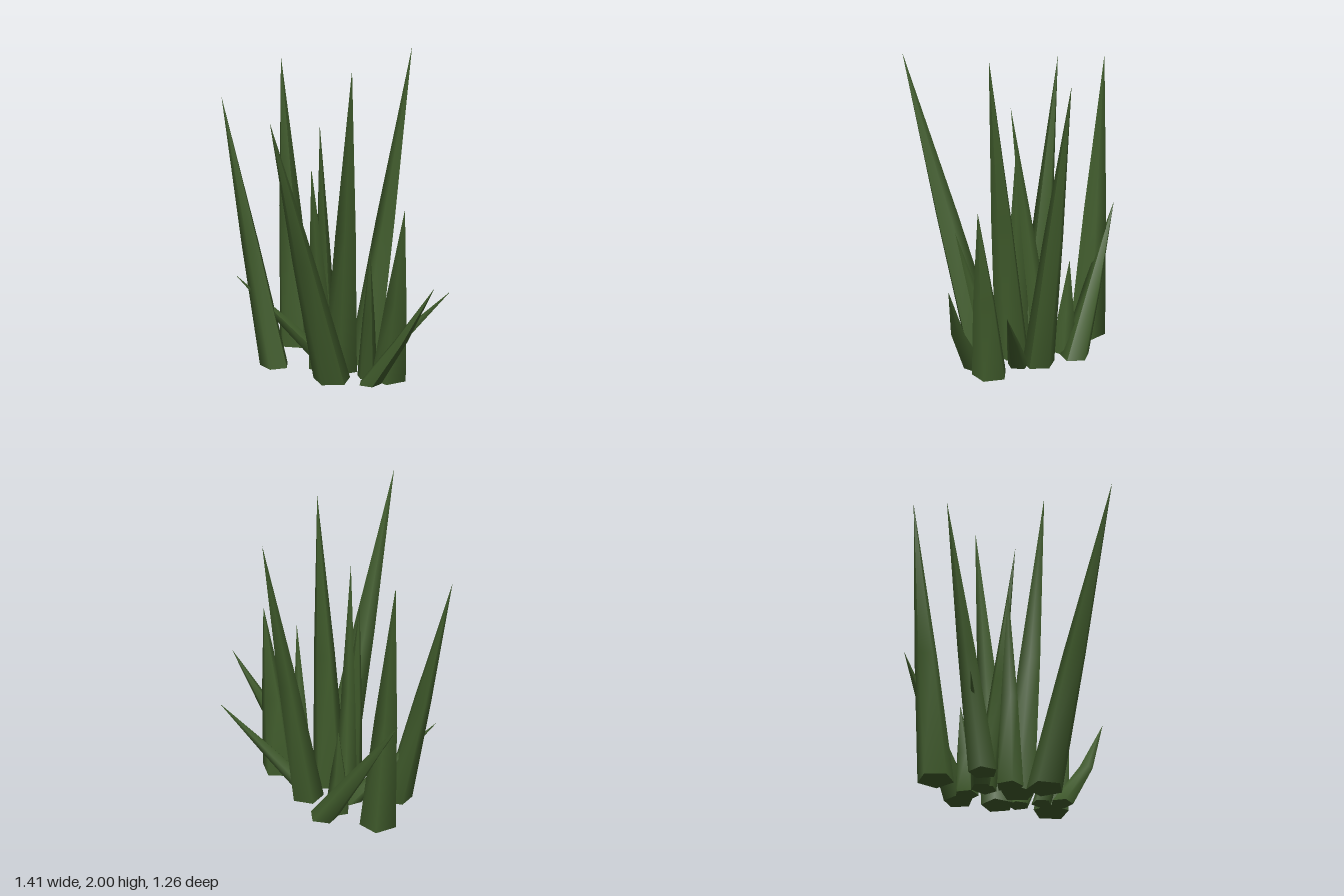
import * as THREE from 'three';

// Each blade: base [x, z], base radius, first corner angle in degrees, tip [x, y, z], optional mid bend [x, z]
const BLADES = [
  { base: [0.01, 0.13], r: 0.115, turn: 47, tip: [-0.30, 1.84, 0.63] },
  { base: [0.04, -0.05], r: 0.105, turn: 0, tip: [0.125, 2.0, 0.09] },
  { base: [0.165, -0.21], r: 0.10, turn: 60, tip: [0.42, 1.97, -0.42] },
  { base: [-0.37, -0.15], r: 0.09, turn: 60, tip: [-0.71, 1.65, -0.28], foot: 0 },
  { base: [-0.28, -0.47], r: 0.115, turn: 32, tip: [-0.39, 1.81, -0.575] },
  { base: [0.05, -0.42], r: 0.09, turn: 63, tip: [-0.41, 0.84, -0.63] },
  { base: [0.345, 0.07], r: 0.11, turn: 0, tip: [0.45, 1.14, 0.14] },
  { base: [0.20, -0.09], r: 0.066, turn: 54, tip: [0.70, 0.56, -0.05] },
  { base: [0.24, 0.165], r: 0.07, turn: 20, tip: [0.65, 0.71, 0.305], bend: [0.01, 0.03] },
  { base: [0.21, 0.05], r: 0.062, turn: 40, tip: [0.26, 0.92, 0.285] },
  { base: [-0.10, -0.235], r: 0.068, turn: 30, tip: [-0.61, 0.56, -0.16] },
  { base: [-0.07, -0.22], r: 0.07, turn: 36, tip: [-0.085, 1.59, -0.03] },
  { base: [-0.075, -0.07], r: 0.085, turn: 10, tip: [-0.14, 1.30, -0.06] },
  { base: [-0.03, -0.35], r: 0.075, turn: 20, tip: [-0.035, 0.62, -0.385] },
];

// Five-sided tapering blade, sheared from its base to its tip
function bladeGeometry({ base, r, turn, tip, bend = [0, 0], foot = 0.03 }) {
  const geo = new THREE.CylinderGeometry(0.001, 1, 1, 5, 2, false, THREE.MathUtils.degToRad(turn));
  const pos = geo.attributes.position;
  for (let i = 0; i < pos.count; i++) {
    const level = pos.getY(i) + 0.5;
    const isMid = Math.abs(level - 0.5) < 0.01;
    const t = isMid ? 0.45 : level;
    const spread = isMid ? 0.62 : 1 - level;
    const ring = isMid ? Math.hypot(pos.getX(i), pos.getZ(i)) : 1;
    const w = r * spread / ring;
    const k = isMid ? 1 : 0;
    pos.setXYZ(
      i,
      base[0] + (tip[0] - base[0]) * t + pos.getX(i) * w + bend[0] * k,
      foot + (tip[1] - foot) * t,
      base[1] + (tip[2] - base[1]) * t + pos.getZ(i) * w + bend[1] * k,
    );
  }
  geo.computeVertexNormals();
  return geo;
}

export function createModel() {
  const group = new THREE.Group();
  group.name = 'grassClump';
  const green = new THREE.MeshStandardMaterial({ color: 0x3f5a2b });
  green.name = 'leafGreen';
  BLADES.forEach((blade, i) => {
    const mesh = new THREE.Mesh(bladeGeometry(blade), green);
    mesh.name = `blade${i + 1}`;
    group.add(mesh);
  });
  return group;
}
